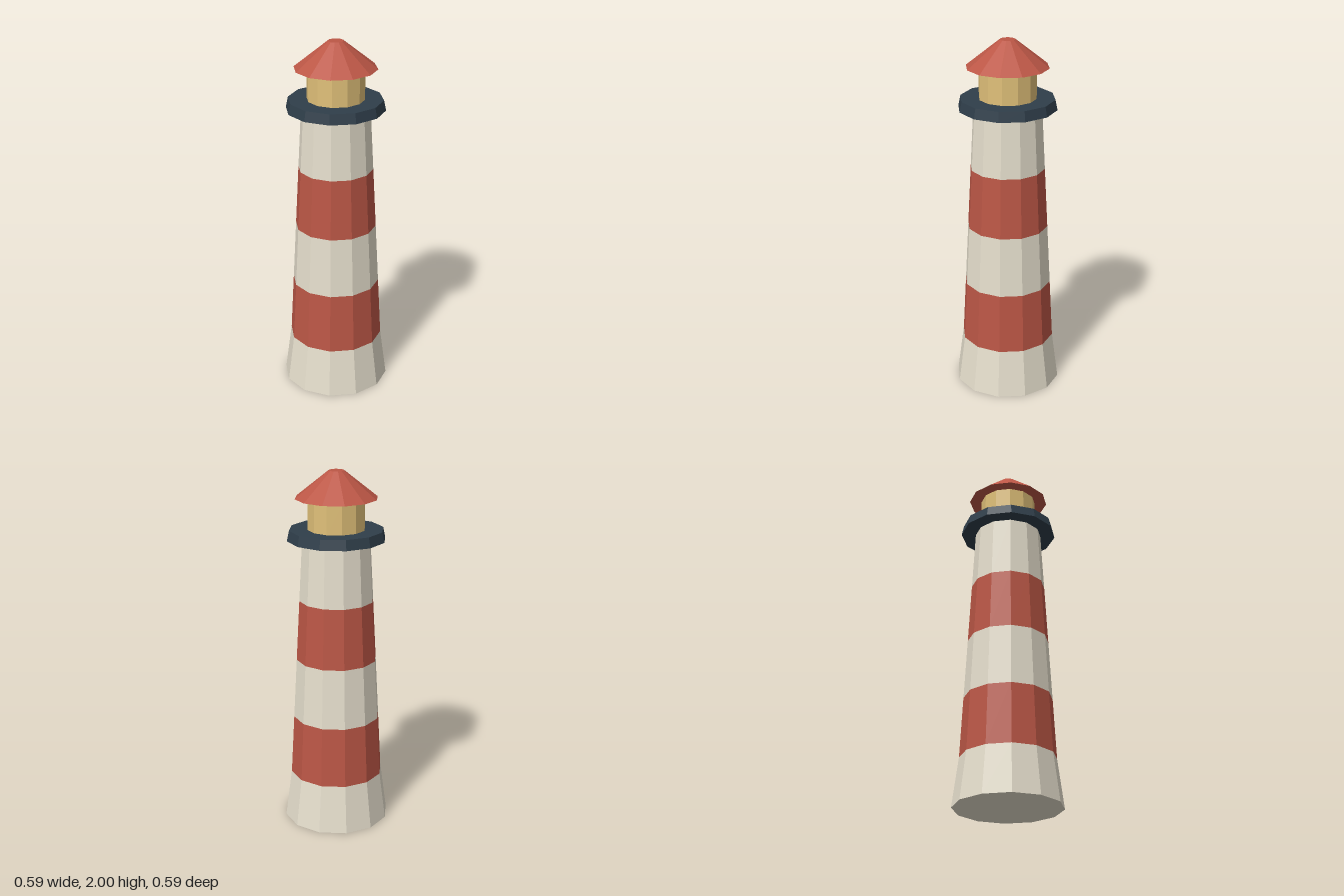
import * as THREE from 'three';

const SIDES = 12;

function paint(name, color) {
  const material = new THREE.MeshStandardMaterial({ color });
  material.name = name;
  return material;
}

export function createModel() {
  const group = new THREE.Group();
  group.name = 'lighthouse';

  const white = paint('warm white', 0xe6dfcd);
  const red = paint('brick red', 0xbc5746);
  const navy = paint('dark slate blue', 0x2f3e4a);
  const amber = paint('lamp amber', 0xe0c079);

  // One faceted tapered drum from y0 to y1
  function drum(name, material, y0, y1, r0, r1, open = false) {
    const geometry = new THREE.CylinderGeometry(r1, r0, y1 - y0, SIDES, 1, open)
      .toNonIndexed();
    geometry.computeVertexNormals(); // flat facets
    const mesh = new THREE.Mesh(geometry, material);
    mesh.name = name;
    mesh.position.y = (y0 + y1) / 2;
    group.add(mesh);
  }

  // Flared foot
  drum('towerBase', white, 0, 0.272, 0.297, 0.261);

  // Striped shaft, tapering evenly up to the gallery
  const bottom = 0.272, top = 1.63, bands = 4;
  const radius = (t) => THREE.MathUtils.lerp(0.261, 0.188, t);
  for (let i = 0; i < bands; i++) {
    const t0 = i / bands, t1 = (i + 1) / bands;
    drum(`towerBand${i + 1}`, i % 2 ? white : red,
      THREE.MathUtils.lerp(bottom, top, t0), THREE.MathUtils.lerp(bottom, top, t1),
      radius(t0), radius(t1), true);
  }

  // Gallery, lantern room and roof
  drum('gallery', navy, 1.628, 1.684, 0.27, 0.258);
  drum('lantern', amber, 1.684, 1.853, 0.157, 0.157, true);
  drum('roof', red, 1.853, 2, 0.225, 0.042);

  return group;
}
